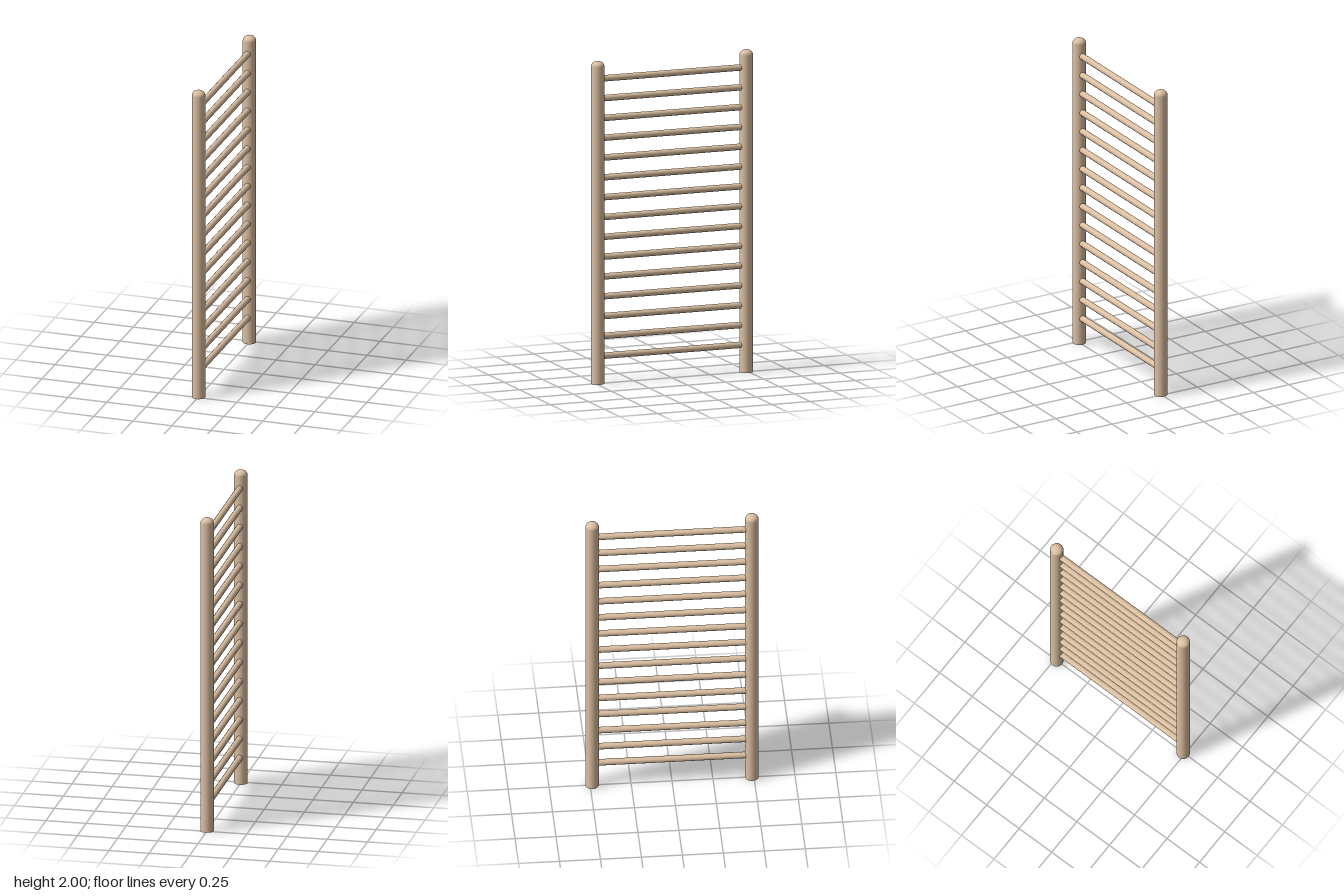
import * as THREE from 'three';

const POST_RADIUS = 0.041, POST_Z = 0.487, HEIGHT = 2, DOME = 0.032;
const RUNGS = 15, RUNG_RADIUS = 0.02, FIRST_RUNG = 0.17, LAST_RUNG = 1.89;

// Closed flat foot, straight shaft and a softly domed top
function postGeometry() {
  const shoulder = HEIGHT - DOME;
  const foot = [[0, 0], [POST_RADIUS, 0]].map(([r, y]) => new THREE.Vector2(r, y));
  const profile = [new THREE.Vector2(POST_RADIUS, 0)];
  const steps = 8;
  for (let i = 0; i <= steps; i++) {
    const a = (i / steps) * Math.PI / 2;
    profile.push(new THREE.Vector2(POST_RADIUS * Math.cos(a), shoulder + DOME * Math.sin(a)));
  }
  return { shaft: new THREE.LatheGeometry(profile, 32), foot: new THREE.LatheGeometry(foot, 32) };
}

export function createModel() {
  const model = new THREE.Group();
  model.name = 'wallLadder';
  const wood = new THREE.MeshStandardMaterial({ color: 0xdcc0a2 });

  // Two upright posts
  const { shaft, foot } = postGeometry();
  for (const side of [1, -1]) {
    const post = new THREE.Group();
    post.name = side > 0 ? 'frontPost' : 'backPost';
    const body = new THREE.Mesh(shaft, wood);
    body.name = 'postShaft';
    const base = new THREE.Mesh(foot, wood);
    base.name = 'postFoot';
    post.add(body, base);
    post.position.z = side * POST_Z;
    model.add(post);
  }

  // Evenly spaced round rungs, ending inside the posts
  const rungGeometry = new THREE.CylinderGeometry(RUNG_RADIUS, RUNG_RADIUS, POST_Z * 2, 12);
  rungGeometry.rotateX(Math.PI / 2);
  for (let i = 0; i < RUNGS; i++) {
    const rung = new THREE.Mesh(rungGeometry, wood);
    rung.name = `rung${i + 1}`;
    rung.position.y = FIRST_RUNG + (LAST_RUNG - FIRST_RUNG) * i / (RUNGS - 1);
    model.add(rung);
  }

  return model;
}
